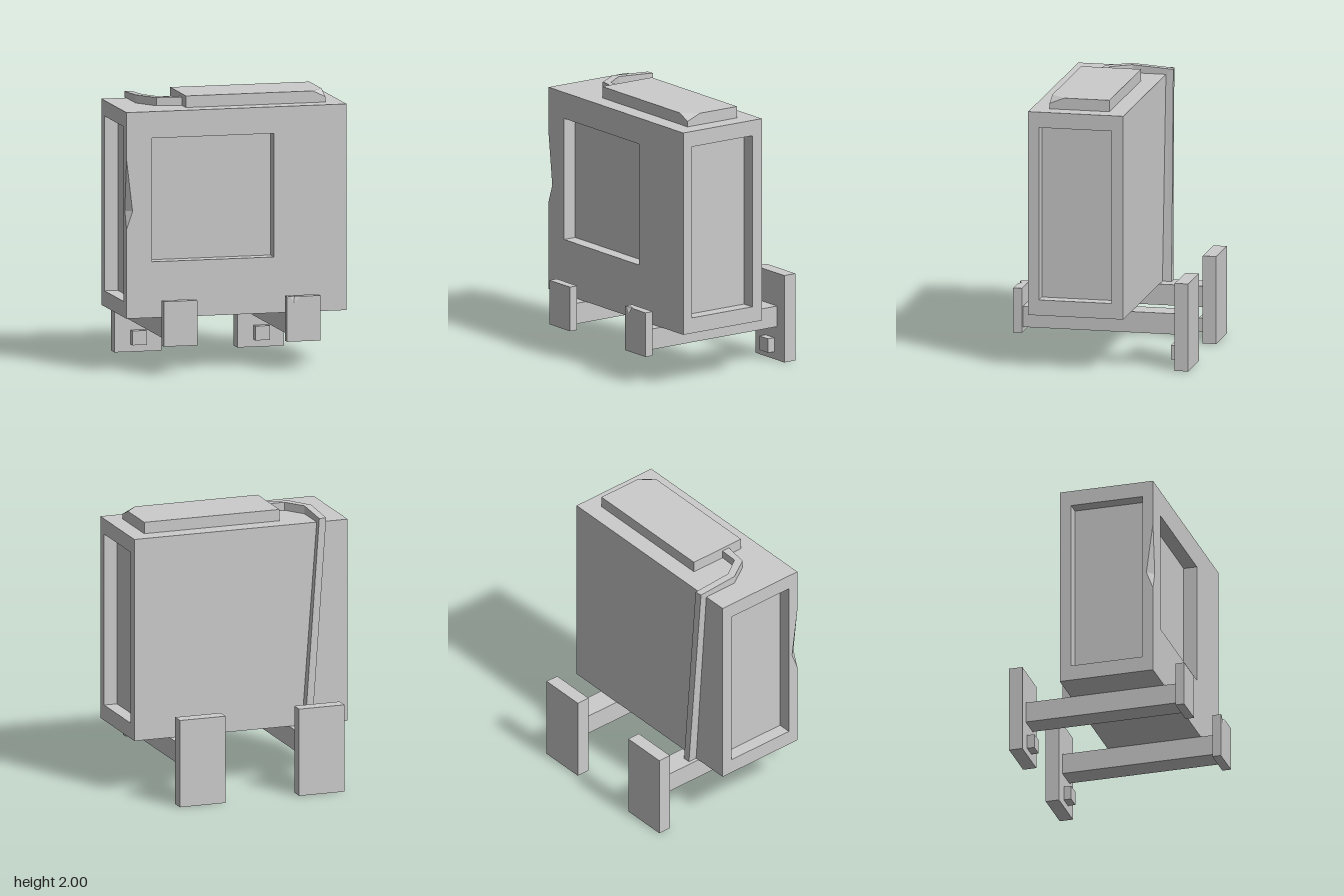
import * as THREE from 'three';
import { mergeGeometries } from 'three/addons/utils/BufferGeometryUtils.js';
import { ConvexGeometry } from 'three/addons/geometries/ConvexGeometry.js';

const grey = () => new THREE.MeshStandardMaterial({ color: 0xcccccc, flatShading: true });
const v3 = (p) => new THREE.Vector3(...p);

function mesh(name, geometry) {
  const m = new THREE.Mesh(geometry, grey());
  m.name = name;
  return m;
}

// Box given by its two extreme corners
function block(name, [x0, y0, z0], [x1, y1, z1]) {
  const g = new THREE.BoxGeometry(x1 - x0, y1 - y0, z1 - z0);
  return mesh(name, g.translate((x0 + x1) / 2, (y0 + y1) / 2, (z0 + z1) / 2));
}

// Flat-shaded geometry from convex polygons, each a list of corner points
function polygons(list) {
  const pos = [];
  for (const p of list)
    for (let i = 1; i < p.length - 1; i++) pos.push(...p[0], ...p[i], ...p[i + 1]);
  const g = new THREE.BufferGeometry();
  g.setAttribute('position', new THREE.Float32BufferAttribute(pos, 3));
  g.computeVertexNormals();
  return g;
}

const rect = (u0, v0, u1, v1) => [[u0, v0], [u1, v0], [u1, v1], [u0, v1]];

// Flat face in local xy facing local +z, with an optional sunken rectangle
function face(place, outline, hole, depth) {
  const shape = new THREE.Shape(outline.map((p) => new THREE.Vector2(...p)));
  if (hole) shape.holes.push(new THREE.Path(hole.map((p) => new THREE.Vector2(...p))));
  const rim = new THREE.ShapeGeometry(shape).toNonIndexed();
  rim.deleteAttribute('uv');
  const parts = [rim];
  if (hole) {
    const recess = [hole.map(([u, v]) => [u, v, -depth])];
    hole.forEach(([u, v], i) => {
      const [s, t] = hole[(i + 1) % 4];
      recess.push([[u, v, 0], [s, t, 0], [s, t, -depth], [u, v, -depth]]);
    });
    parts.push(polygons(recess));
  }
  return mergeGeometries(parts).applyMatrix4(place);
}

// Placement of a face: turned about an axis, then moved
const H = Math.PI / 2;
const turnY = (a, x, z) => new THREE.Matrix4().makeRotationY(a).setPosition(x, 0, z);
const turnX = (a, y) => new THREE.Matrix4().makeRotationX(a).setPosition(0, y, 0);

function body() {
  const X = 0.825, y0 = 0.405, y1 = 1.915, z0 = -0.215, z1 = 0.49, depth = 0.1;
  // chip in the front right vertical edge
  const hi = 1.57, lo = 1.06, mid = 1.19, px = -0.78, qz = 0.44;
  const A = [-X, hi, z1], B = [-X, lo, z1], P = [px, mid, z1], Q = [-X, mid, qz];
  const front = [[-X, y0], [X, y0], [X, y1], [-X, y1], [-X, hi], [px, mid], [-X, lo]];
  const chipped = [[z0, y0], [z1, y0], [z1, lo], [qz, mid], [z1, hi], [z1, y1], [z0, y1]];
  return mesh('body', mergeGeometries([
    face(turnY(0, 0, z1), front, rect(-0.635, 0.815, 0.28, 1.72), depth),
    face(turnY(H, X, 0), rect(-z1, y0, -z0, y1), rect(-0.41, 0.52, 0.13, 1.8), depth),
    face(turnY(-H, -X, 0), chipped, rect(-0.13, 0.52, 0.41, 1.8), depth),
    face(turnY(2 * H, 0, z0), rect(-X, y0, X, y1)),
    face(turnX(-H, y1), rect(-X, -z1, X, -z0)),
    face(turnX(H, y0), rect(-X, z0, X, z1)),
    polygons([[A, Q, P], [B, P, Q]]),
  ]));
}

// Front foot plate with a nick in its top front edge
function nickedPlate() {
  const x0 = 0.335, x1 = 0.587, y0 = 0.215, y1 = 0.545, z0 = 0.59, z1 = 0.655;
  const a = 0.36, b = 0.44, p = [0.385, 0.495], q = [0.395, 0.635];
  const A = [a, y1, z1], B = [b, y1, z1], P = [...p, z1], Q = [q[0], y1, q[1]];
  return mesh('leftFrontPlate', mergeGeometries([
    face(turnY(0, 0, z1), [[x0, y0], [x1, y0], [x1, y1], [b, y1], p, [a, y1], [x0, y1]]),
    face(turnX(-H, y1), [[x0, -z1], [a, -z1], [q[0], -q[1]], [b, -z1], [x1, -z1], [x1, -z0], [x0, -z0]]),
    face(turnY(H, x1, 0), rect(-z1, y0, -z0, y1)),
    face(turnY(-H, x0, 0), rect(z0, y0, z1, y1)),
    face(turnY(2 * H, 0, z0), rect(-x1, y0, -x0, y1)),
    face(turnX(H, y0), rect(x0, z0, x1, z1)),
    polygons([[A, P, Q], [B, Q, P]]),
  ]));
}

// Raised lid with one corner sliced off
function lid() {
  const pts = [];
  for (const x of [-0.345, 0.7])
    for (const z of [-0.085, 0.36])
      for (const y of [1.915, 2]) if (!(x > 0 && z > 0 && y === 2)) pts.push([x, y, z]);
  pts.push([0.605, 2, 0.36], [0.7, 1.955, 0.36], [0.7, 2, 0.25]);
  return mesh('lid', new ConvexGeometry(pts.map(v3)));
}

// Flat cable from the lid, over the back edge and down the back
function cable() {
  const base = 1.915, top = 1.975;
  const flat = (ox, oz, ix, iz) => [[ox, base, oz], [ix, base, iz], [ix, top, iz], [ox, top, oz]];
  const s = [
    flat(-0.345, 0.245, -0.345, 0.185),
    flat(-0.53, 0.22, -0.485, 0.18),
    flat(-0.64, 0.05, -0.585, 0.035),
    [[-0.64, base, -0.215], [-0.585, base, -0.215], [-0.585, 1.955, -0.27], [-0.64, 1.955, -0.265]],
    [[-0.525, 0.405, -0.215], [-0.47, 0.405, -0.215], [-0.47, 0.405, -0.283], [-0.525, 0.405, -0.283]],
  ];
  const quads = [s[0], [...s[4]].reverse()];
  for (let i = 0; i < s.length - 1; i++)
    for (let j = 0; j < 4; j++) {
      const k = (j + 1) % 4;
      quads.push([s[i][j], s[i + 1][j], s[i + 1][k], s[i][k]]);
    }
  return mesh('cable', polygons(quads));
}

export function createModel() {
  const model = new THREE.Group();
  model.name = 'cabinet';
  model.add(body(), lid(), cable(), nickedPlate());
  model.add(block('rightFrontPlate', [-0.59, 0.215, 0.59], [-0.338, 0.545, 0.655]));

  // Support bars, tall rear plates and their small pegs
  for (const [side, s] of [['left', 1], ['right', -1]]) {
    const pair = (name, x0, x1, y0, y1, z0, z1) => model.add(block(side + name,
      [Math.min(s * x0, s * x1), y0, z0], [Math.max(s * x0, s * x1), y1, z1]));
    pair('SupportBar', 0.373, 0.55, 0.25, 0.404, -0.555, 0.59);
    pair('RearPlate', 0.285, 0.637, 0, 0.65, -0.655, -0.555);
    pair('RearPeg', 0.407, 0.515, 0.055, 0.16, -0.555, -0.5);
  }
  return model;
}
